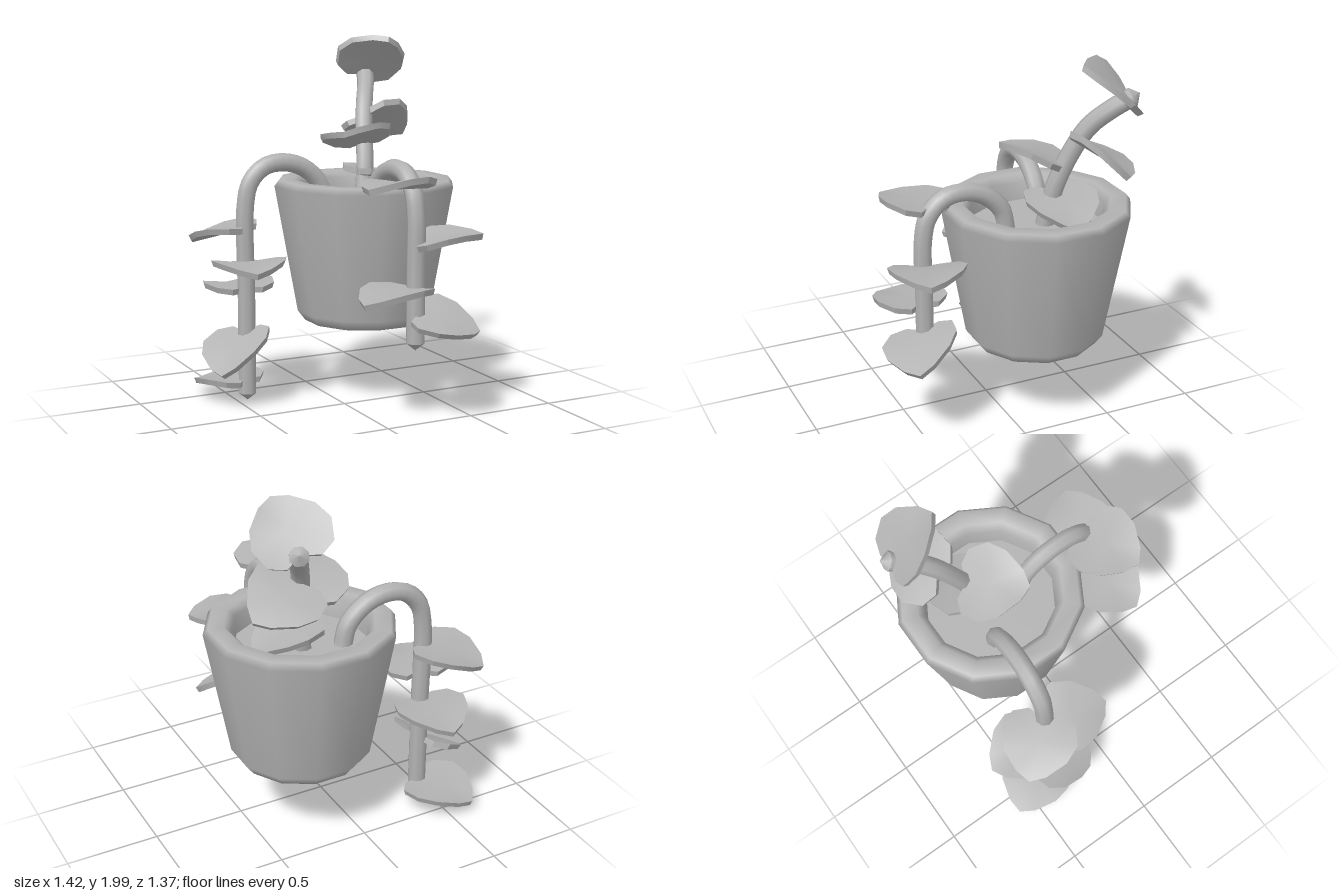
import * as THREE from 'three';
import { toCreasedNormals } from 'three/addons/utils/BufferGeometryUtils.js';

const V = (x, y, z) => new THREE.Vector3(x, y, z);

// Half outline of a heart-like leaf: [along, across]; mirrored for the other half
const HALF = [[0.02, 0], [-0.02, 0.09], [0.015, 0.17], [0.12, 0.205], [0.22, 0.17], [0.315, 0.08], [0.355, 0]];

function leafGeometry() {
  const outline = [...HALF, ...HALF.slice(1, -1).reverse().map(([u, v]) => [u, -v])];
  const n = outline.length;
  const lift = (u, v) => 0.006 + 0.08 * Math.abs(v) - 0.8 * (u - 0.17) ** 2;
  const pos = [];
  // top ring, slightly smaller bottom ring, then the two centres
  for (const [u, v] of outline) pos.push(u, lift(u, v) + 0.016, v);
  for (const [u, v] of outline) pos.push(0.16 + (u - 0.16) * 0.95, lift(u, v) - 0.016, v * 0.95);
  pos.push(0.15, 0.018, 0, 0.15, -0.022, 0);
  const index = [];
  for (let i = 0; i < n; i++) {
    const j = (i + 1) % n;
    index.push(2 * n, i, j, 2 * n + 1, n + j, n + i, i, n + j, j, i, n + i, n + j);
  }
  const g = new THREE.BufferGeometry();
  g.setAttribute('position', new THREE.Float32BufferAttribute(pos, 3));
  g.setIndex(index);
  return toCreasedNormals(g, 0.5);
}

export function createModel() {
  const model = new THREE.Group();
  const grey = new THREE.MeshStandardMaterial({ color: 0xb3b3b3 });
  grey.name = 'plain grey';

  const add = (name, geometry, parent = model) => {
    const mesh = new THREE.Mesh(geometry, grey);
    mesh.name = name;
    parent.add(mesh);
    return mesh;
  };

  // Twelve-sided pot with soft edges; radii are measured to the flats
  const k = 1 / Math.cos(Math.PI / 12);
  const profile = [
    [0, 0.435], [0.325, 0.435], [0.365, 0.49], [0.486, 1.19],
    [0.462, 1.222], [0.38, 1.222], [0.345, 1.185], [0.335, 1.07],
  ].map(([r, y]) => new THREE.Vector2(r * k, y));
  const pot = add('pot', new THREE.LatheGeometry(profile, 12, Math.PI / 12));
  pot.position.set(0.22, 0, -0.19);

  const soil = add('soil', new THREE.CylinderGeometry(0.34 * k, 0.34 * k, 0.03, 12, 1, false, Math.PI / 12));
  soil.position.set(0.22, 1.07, -0.19);

  // Round stem with a small conical tip
  const stem = (name, points) => {
    const plant = new THREE.Group();
    plant.name = name;
    model.add(plant);
    const curve = new THREE.CatmullRomCurve3(points.map((p) => V(...p)), false, 'centripetal');
    add('stem', new THREE.TubeGeometry(curve, 40, 0.05, 8), plant);
    const tip = add('stemTip', new THREE.ConeGeometry(0.05, 0.04, 8), plant);
    const dir = curve.getTangent(1);
    tip.position.copy(curve.getPoint(1)).addScaledVector(dir, 0.02);
    tip.quaternion.setFromUnitVectors(V(0, 1, 0), dir);
    return plant;
  };

  // Leaf rooted at a stem, heading along (dx, dz) on a plane with slopes sx and sz
  const leafShape = leafGeometry();
  const leaf = (plant, [x, y, z, dx, dz, sx, sz]) => {
    const up = V(-sx, 1, -sz).normalize();
    const along = V(dx, dx * sx + dz * sz, dz).normalize();
    const across = V(0, 0, 0).crossVectors(along, up);
    const mesh = add('leaf', leafShape, plant);
    mesh.quaternion.setFromRotationMatrix(new THREE.Matrix4().makeBasis(along, up, across));
    mesh.position.set(x, y, z);
  };

  // Long trailing stem on the right side
  const longTrailer = stem('longTrailingStem', [
    [0.03, 1.07, -0.295], [0, 1.19, -0.297], [-0.1, 1.285, -0.3], [-0.22, 1.32, -0.305],
    [-0.33, 1.3, -0.312], [-0.41, 1.22, -0.316], [-0.44, 1.1, -0.316], [-0.44, 0.6, -0.316], [-0.44, 0.05, -0.316],
  ]);
  [
    [-0.44, 0.98, -0.31, -0.65, -0.75, 0.15, 0.15],
    [-0.45, 0.79, -0.31, -0.2, 0.97, 0, 0],
    [-0.44, 0.64, -0.31, 0, -1, 0, 0.08],
    [-0.44, 0.41, -0.34, -0.75, 0.66, 0.65, -0.25],
    [-0.44, 0.125, -0.31, -0.5, -0.86, 0.03, 0.1],
  ].forEach((l) => leaf(longTrailer, l));

  // Shorter trailing stem in front
  const shortTrailer = stem('shortTrailingStem', [
    [0.19, 1.07, -0.03], [0.19, 1.19, 0], [0.19, 1.285, 0.1], [0.19, 1.32, 0.22],
    [0.19, 1.3, 0.33], [0.19, 1.22, 0.41], [0.19, 1.1, 0.44], [0.19, 0.8, 0.44], [0.19, 0.43, 0.44],
  ]);
  [
    [0.2, 1.265, 0.39, -0.93, 0.36, 0.03, 0.1],
    [0.2, 0.955, 0.43, 0.93, 0.3, 0.13, 0.03],
    [0.18, 0.725, 0.44, -0.95, 0.25, 0.12, 0.02],
    [0.18, 0.59, 0.45, 0.87, 0.4, -0.1, -0.42],
  ].forEach((l) => leaf(shortTrailer, l));

  // Upright stem leaning backward
  const upright = stem('uprightStem', [
    [0.23, 1.07, -0.23], [0.265, 1.3, -0.27], [0.295, 1.48, -0.34],
    [0.34, 1.63, -0.42], [0.4, 1.73, -0.52], [0.44, 1.79, -0.61],
  ]);
  [
    [0.2, 1.27, -0.28, 1, 0, -0.32, 0],
    [0.27, 1.42, -0.31, -0.7, 0.7, 0, 0.33],
    [0.31, 1.55, -0.41, 0.85, -0.25, -0.12, 0.65],
    [0.42, 1.775, -0.61, 0.1, 1, -0.4, 0.82],
  ].forEach((l) => leaf(upright, l));

  return model;
}
